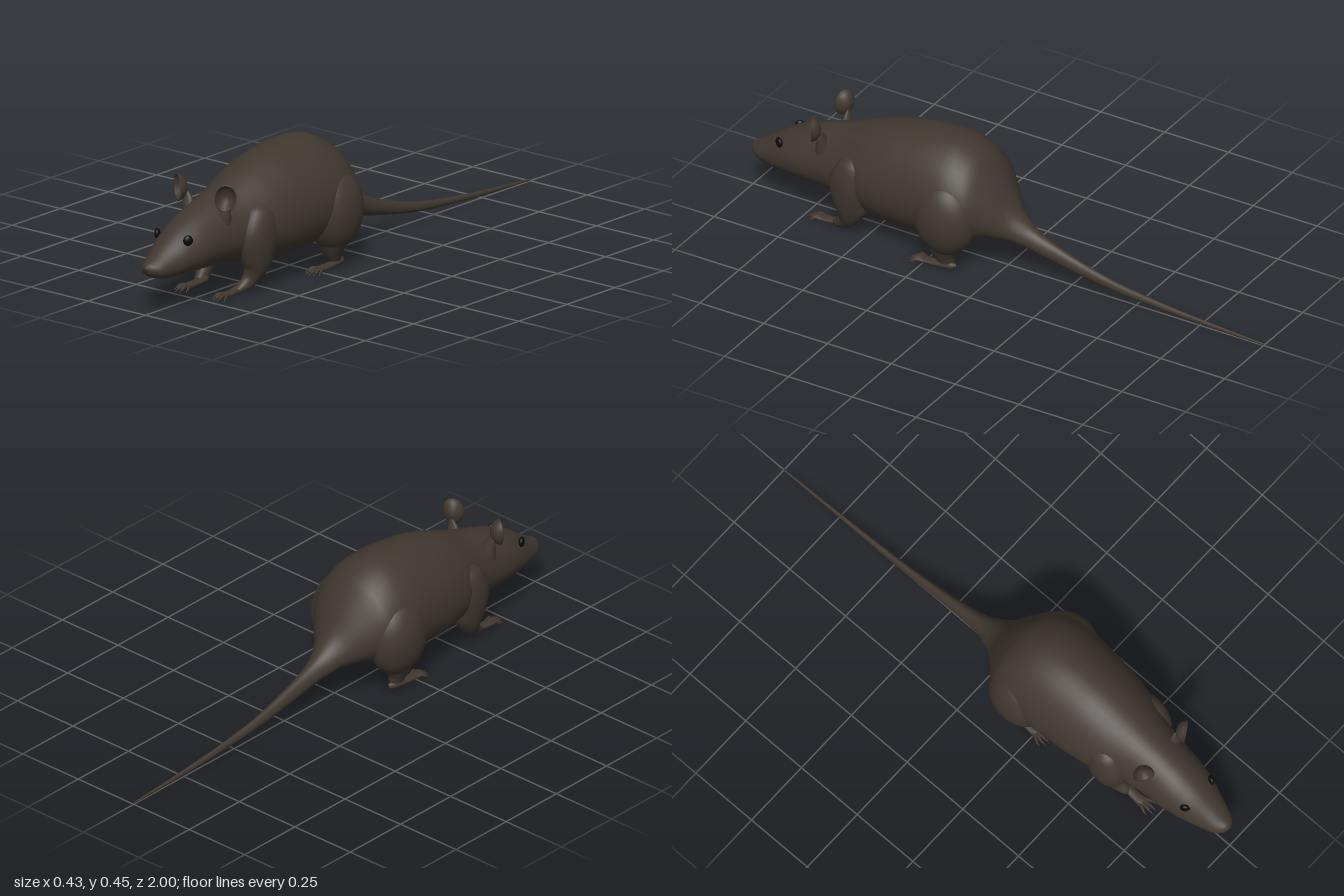
import * as THREE from 'three';

const fur = new THREE.MeshStandardMaterial({ color: 0x40372f });
fur.name = 'dark brown fur';
const black = new THREE.MeshStandardMaterial({ color: 0x0b0a0a });
black.name = 'eye black';

// Smooth skin over elliptical rings. Rows are [x, y, z, halfWidth, halfHeight].
// With axis given, all rings are parallel; pear makes the lower half wider.
function loft(rows, { axis = null, pear = 0, sides = 16, steps = 4 } = {}) {
  const path = new THREE.CatmullRomCurve3(rows.map(r => new THREE.Vector3(r[0], r[1], r[2])));
  const radii = new THREE.CatmullRomCurve3(rows.map(r => new THREE.Vector3(r[3], r[4], 0)));
  const side = new THREE.Vector3(1, 0, 0);
  const n = (rows.length - 1) * steps;
  const pos = [], idx = [];
  for (let i = 0; i <= n; i++) {
    const c = path.getPoint(i / n), r = radii.getPoint(i / n);
    const up = side.clone().cross(axis || path.getTangent(i / n)).normalize();
    for (let j = 0; j < sides; j++) {
      const a = (j / sides) * Math.PI * 2;
      const p = c.clone().addScaledVector(up, Math.max(r.y, 0.0005) * Math.sin(a));
      p.x += Math.max(r.x, 0.0005) * Math.cos(a) * (1 - pear * Math.sin(a));
      pos.push(p.x, p.y, p.z);
      if (i < n) {
        const k = (j + 1) % sides, A = i * sides, B = A + sides;
        idx.push(A + j, B + j, A + k, B + j, B + k, A + k);
      }
    }
  }
  const g = new THREE.BufferGeometry();
  g.setAttribute('position', new THREE.Float32BufferAttribute(pos, 3));
  g.setIndex(idx);
  g.computeVertexNormals();
  return g;
}

function add(parent, name, geometry, material = fur) {
  const m = new THREE.Mesh(geometry, material);
  m.name = name;
  parent.add(m);
  return m;
}

function ellipsoid(parent, name, p, r, material = fur) {
  const m = add(parent, name, new THREE.SphereGeometry(1, 28, 20), material);
  m.position.set(...p);
  m.scale.set(...r);
  return m;
}

// Body outline from nose to tail tip: [z, top, bottom, halfWidth]
const outline = [
  [1.0, 0.17, 0.16, 0.004], [0.99, 0.182, 0.143, 0.025], [0.965, 0.195, 0.127, 0.045],
  [0.92, 0.225, 0.116, 0.061], [0.86, 0.268, 0.115, 0.083], [0.79, 0.305, 0.113, 0.1],
  [0.7, 0.338, 0.11, 0.109], [0.62, 0.362, 0.105, 0.122], [0.5, 0.41, 0.083, 0.16],
  [0.4, 0.44, 0.069, 0.176], [0.27, 0.457, 0.075, 0.186], [0.17, 0.45, 0.09, 0.187],
  [0.09, 0.408, 0.108, 0.17], [0.03, 0.33, 0.118, 0.12], [-0.03, 0.235, 0.115, 0.065],
  [-0.1, 0.176, 0.098, 0.036], [-0.2, 0.132, 0.073, 0.023], [-0.4, 0.073, 0.037, 0.014],
  [-0.6, 0.044, 0.02, 0.01], [-0.8, 0.026, 0.01, 0.006], [-1.0, 0.013, 0.006, 0.003],
];

// Flat paw with spread toes ending in thin claws
function paw(parent, name, s, x, z, length, spread, count) {
  const g = new THREE.Group();
  g.name = name;
  parent.add(g);
  const end = z + length;
  add(g, 'palm', loft([
    [s * (x - 0.004), 0.025, z - 0.02, 0.004, 0.006], [s * (x - 0.003), 0.023, z, 0.016, 0.014],
    [s * x, 0.018, z + length * 0.5, 0.017, 0.011], [s * x, 0.016, end, 0.02, 0.009],
    [s * x, 0.014, end + 0.01, 0.004, 0.003],
  ]));
  for (let i = 0; i < count; i++) {
    const f = (i / (count - 1)) * 2 - 1;
    const reach = 0.055 - 0.018 * f * f;
    const tx = x + f * spread;
    add(g, 'toe', loft([
      [s * (x + f * 0.013), 0.017, end - 0.012, 0.005, 0.006],
      [s * (x + f * spread * 0.75), 0.019, end + reach * 0.35, 0.0055, 0.007],
      [s * tx, 0.012, end + reach * 0.68, 0.004, 0.005],
      [s * tx, 0.011, end + reach * 0.72, 0.001, 0.001],
    ], { sides: 8, steps: 3 }));
    add(g, 'claw', loft([
      [s * tx, 0.013, end + reach * 0.6, 0.003, 0.003],
      [s * tx, 0.012, end + reach * 0.82, 0.002, 0.002],
      [s * (tx + f * 0.003), 0.005, end + reach, 0.0005, 0.0005],
    ], { sides: 6, steps: 3 }));
  }
}

export function createModel() {
  const model = new THREE.Group();
  model.name = 'rodent';

  // Head, trunk and tail in one skin
  add(model, 'bodyAndTail', loft(
    outline.map(([z, top, bottom, w]) => [0, (top + bottom) / 2, z, w, (top - bottom) / 2]),
    { axis: new THREE.Vector3(0, 0, -1), pear: 0.13, sides: 40 }));
  ellipsoid(model, 'nose', [0, 0.163, 0.985], [0.018, 0.014, 0.014]);

  // Thick cupped ear, turned around its axis
  const cup = [[0, -0.016], [0.022, -0.013], [0.038, 0], [0.045, 0.014], [0.045, 0.018],
    [0.041, 0.017], [0.034, 0.004], [0.02, -0.007], [0, -0.01]]
    .map(([x, y]) => new THREE.Vector2(x, y));

  for (const s of [1, -1]) {
    const sideName = s > 0 ? 'left' : 'right';
    const half = new THREE.Group();
    half.name = sideName + 'Side';
    model.add(half);

    // Ear and its root
    const earGeometry = new THREE.LatheGeometry(cup, 32);
    earGeometry.rotateX(Math.PI / 2);
    earGeometry.scale(0.82, 1.05, 1);
    const ear = add(half, sideName + 'Ear', earGeometry);
    ear.position.set(s * 0.096, 0.364, 0.694);
    ear.rotation.set(0, s * 0.55, -s * 0.15);
    ear.material = fur;
    add(half, sideName + 'EarRoot', loft([
      [s * 0.066, 0.25, 0.68, 0.035, 0.03], [s * 0.075, 0.295, 0.682, 0.028, 0.022],
      [s * 0.084, 0.33, 0.682, 0.02, 0.011], [s * 0.09, 0.35, 0.681, 0.008, 0.004],
    ]));

    // Eye
    const eye = ellipsoid(half, sideName + 'Eye', [s * 0.067, 0.245, 0.858], [0.01, 0.018, 0.017], black);
    eye.rotation.y = -s * 0.55;

    // Foreleg: shoulder, elbow, wrist
    add(half, sideName + 'Foreleg', loft([
      [s * 0.1, 0.32, 0.52, 0.01, 0.01], [s * 0.108, 0.28, 0.53, 0.045, 0.06],
      [s * 0.11, 0.2, 0.545, 0.056, 0.083], [s * 0.11, 0.12, 0.55, 0.045, 0.066],
      [s * 0.106, 0.075, 0.56, 0.034, 0.042], [s * 0.098, 0.045, 0.58, 0.024, 0.028],
      [s * 0.09, 0.025, 0.615, 0.018, 0.016], [s * 0.088, 0.02, 0.635, 0.004, 0.004],
    ], { sides: 24 }));
    paw(half, sideName + 'Forepaw', s, 0.082, 0.6, 0.085, 0.024, 4);

    // Haunch and hind leg
    ellipsoid(half, sideName + 'Haunch', [s * 0.128, 0.205, 0.17], [0.086, 0.14, 0.115]);
    add(half, sideName + 'HindLeg', loft([
      [s * 0.128, 0.2, 0.17, 0.05, 0.08], [s * 0.13, 0.13, 0.172, 0.055, 0.083],
      [s * 0.13, 0.085, 0.175, 0.04, 0.058], [s * 0.128, 0.05, 0.17, 0.026, 0.038],
      [s * 0.126, 0.026, 0.16, 0.017, 0.025], [s * 0.126, 0.015, 0.155, 0.005, 0.008],
    ], { sides: 24 }));
    paw(half, sideName + 'HindPaw', s, 0.133, 0.145, 0.11, 0.028, 5);
  }
  return model;
}
